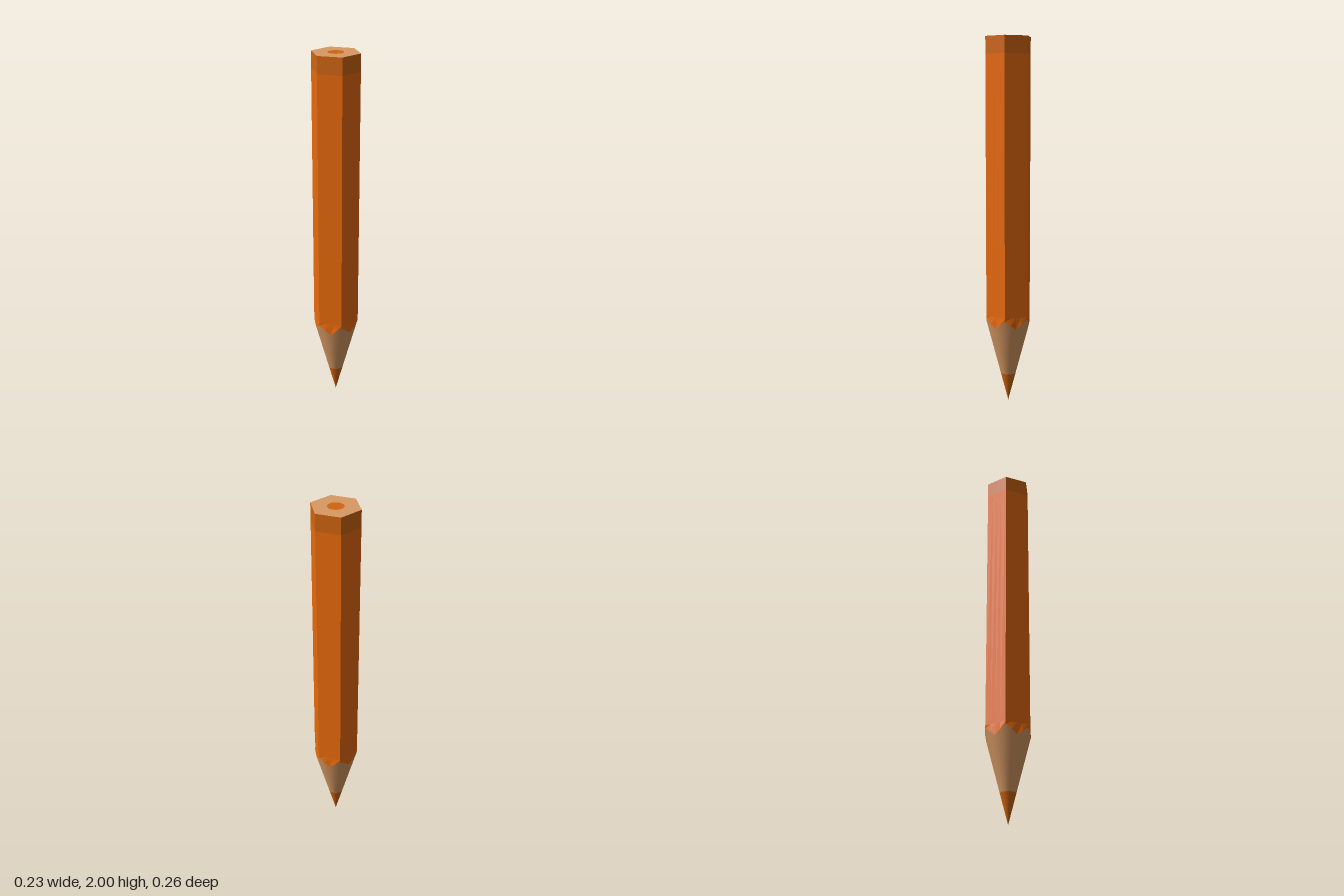
import * as THREE from 'three';

const N = 24;              // points around each ring, multiple of 12
const R = 0.129;           // hexagon corner radius, corners on +-z
const APOTHEM = R * Math.cos(Math.PI / 6);
const SLOPE = 0.262;       // cone radius per unit of height

const PAINT = 0xe86a0c, DARK = 0xd0650f, WOOD = 0xd89a64;

// Ring rules: point index -> [radius, height]
const hex = (y) => (i) => {
  const a = ((i / N) * Math.PI * 2) % (Math.PI / 3) - Math.PI / 6;
  return [APOTHEM / Math.cos(a), y];
};
const circle = (r, y) => () => [r, y];
const cone = (y) => circle(y * SLOPE, y);

// Zigzag paint edge: high at the corners, low at the middle of each face
const scallop = (i) => {
  const t = (i % (N / 6)) / (N / 6);
  const y = 0.435 + 0.05 * Math.abs(1 - 2 * t);
  return [y * SLOPE, y];
};

// Skins a stack of rings, listed from bottom to top
function loft(name, rings, color, flat) {
  const pos = [], index = [];
  rings.forEach((ring) => {
    for (let i = 0; i < N; i++) {
      const a = (i / N) * Math.PI * 2;
      const [r, y] = ring(i);
      pos.push(r * Math.sin(a), y, r * Math.cos(a));
    }
  });
  for (let k = 0; k < rings.length - 1; k++) {
    for (let i = 0; i < N; i++) {
      const a = k * N + i, b = k * N + ((i + 1) % N);
      index.push(a, b, b + N, a, b + N, a + N);
    }
  }
  let geo = new THREE.BufferGeometry();
  geo.setAttribute('position', new THREE.Float32BufferAttribute(pos, 3));
  geo.setIndex(index);
  if (flat) geo = geo.toNonIndexed();
  geo.computeVertexNormals();
  const mesh = new THREE.Mesh(geo, new THREE.MeshStandardMaterial({ color }));
  mesh.name = name;
  return mesh;
}

export function createModel() {
  const pencil = new THREE.Group();
  pencil.name = 'pencil';

  // Sharpened point
  pencil.add(loft('leadTip', [circle(0, 0), cone(0.04), cone(0.16)], DARK, false));
  pencil.add(loft('woodCone', [cone(0.16), cone(0.3), scallop], WOOD, false));

  // Painted hexagonal shaft with a darker band at the end
  pencil.add(loft('paintEdge', [scallop, hex(0.5)], PAINT, true));
  pencil.add(loft('shaft', [hex(0.5), hex(1.91)], PAINT, true));
  pencil.add(loft('endBand', [hex(1.91), hex(2)], DARK, true));

  // Flat end: wood face around the lead core
  pencil.add(loft('woodEnd', [hex(2), circle(0.042, 2)], WOOD, true));
  const core = new THREE.Mesh(
    new THREE.CircleGeometry(0.042, N),
    new THREE.MeshStandardMaterial({ color: DARK })
  );
  core.name = 'leadEnd';
  core.rotation.x = -Math.PI / 2;
  core.position.y = 2;
  pencil.add(core);

  return pencil;
}
